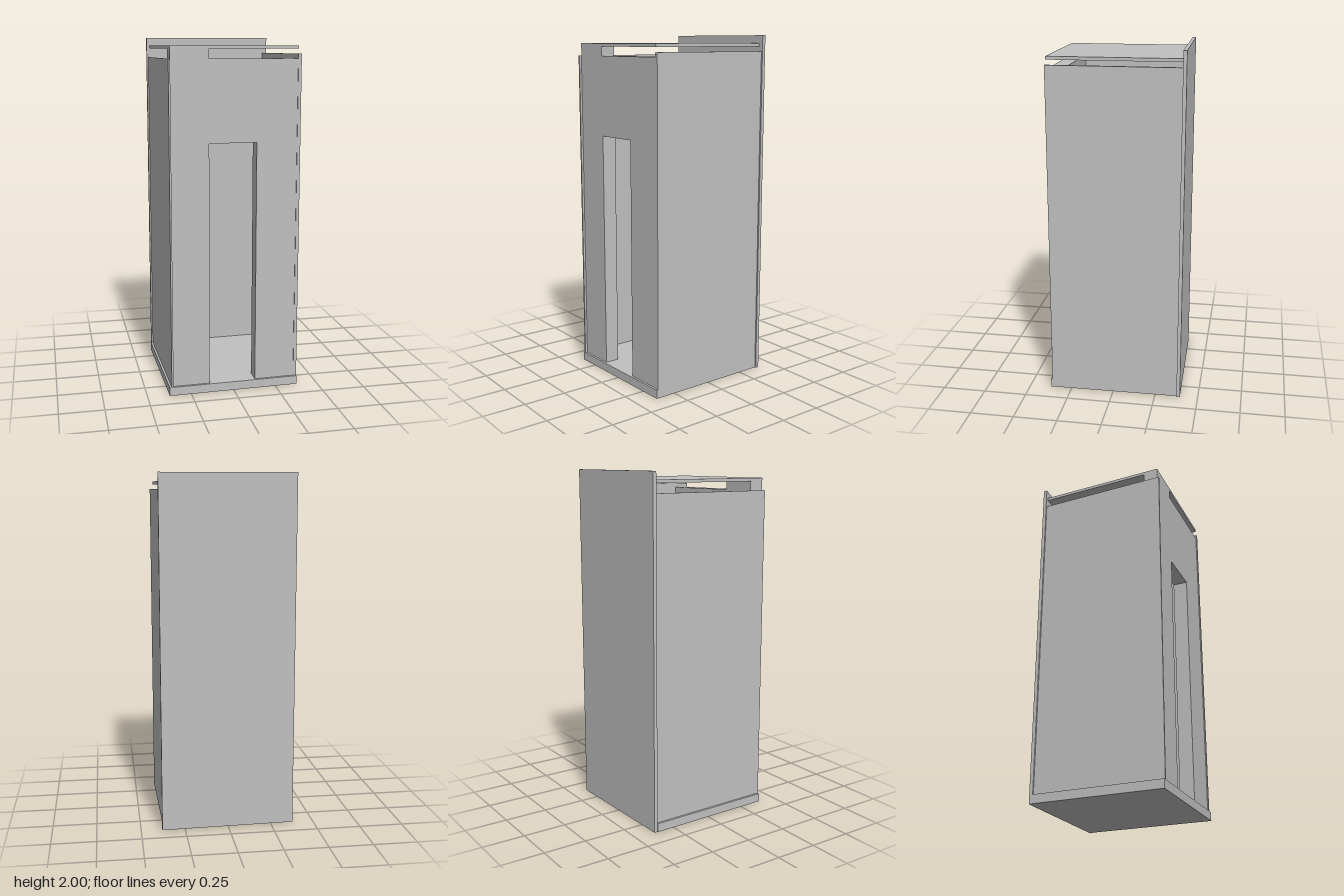
import * as THREE from 'three';

const grey = new THREE.MeshStandardMaterial({ color: 0xc0c0c0 });
grey.name = 'plain grey';

// The plan is slightly out of square, so every part is skewed by the same rule.
function skew(geometry) {
  const p = geometry.attributes.position;
  for (let i = 0; i < p.count; i++) {
    const x = p.getX(i), z = p.getZ(i);
    p.setX(i, x + 0.0108 * z);
    p.setZ(i, z - 0.0245 * x);
  }
  geometry.computeVertexNormals();
  return geometry;
}

function part(name, geometry) {
  const mesh = new THREE.Mesh(skew(geometry), grey);
  mesh.name = name;
  return mesh;
}

function slab(name, x0, x1, y0, y1, z0, z1) {
  const g = new THREE.BoxGeometry(x1 - x0, y1 - y0, z1 - z0);
  g.translate((x0 + x1) / 2, (y0 + y1) / 2, (z0 + z1) / 2);
  return part(name, g);
}

// Thick front wall: doorway cut from the bottom, top lowered on one side for the slot.
function frontWall() {
  const outline = [
    [-0.357, 0.05], [-0.144, 0.05], [-0.144, 1.43], [0.125, 1.43], [0.125, 0.05],
    [0.357, 0.05], [0.357, 1.885], [-0.144, 1.885], [-0.144, 1.937], [-0.357, 1.937],
  ];
  const shape = new THREE.Shape(outline.map(([x, y]) => new THREE.Vector2(x, y)));
  const g = new THREE.ExtrudeGeometry(shape, { depth: 0.085, bevelEnabled: false });
  g.translate(0, 0, 0.286);
  return part('frontWall', g);
}

export function createModel() {
  const model = new THREE.Group();
  model.name = 'booth';
  model.add(
    slab('floor', -0.379, 0.3755, 0, 0.05, -0.367, 0.384),
    slab('backWall', -0.376, 0.384, 0, 2, -0.3875, -0.367),
    slab('rightSideWall', 0.357, 0.3755, 0.05, 1.91, -0.367, 0.375),
    slab('leftSideWall', -0.367, -0.357, 0.05, 1.885, -0.367, 0.384),
    frontWall(),
    slab('roof', -0.357, 0.358, 1.937, 1.955, -0.367, 0.371),
  );
  return model;
}
